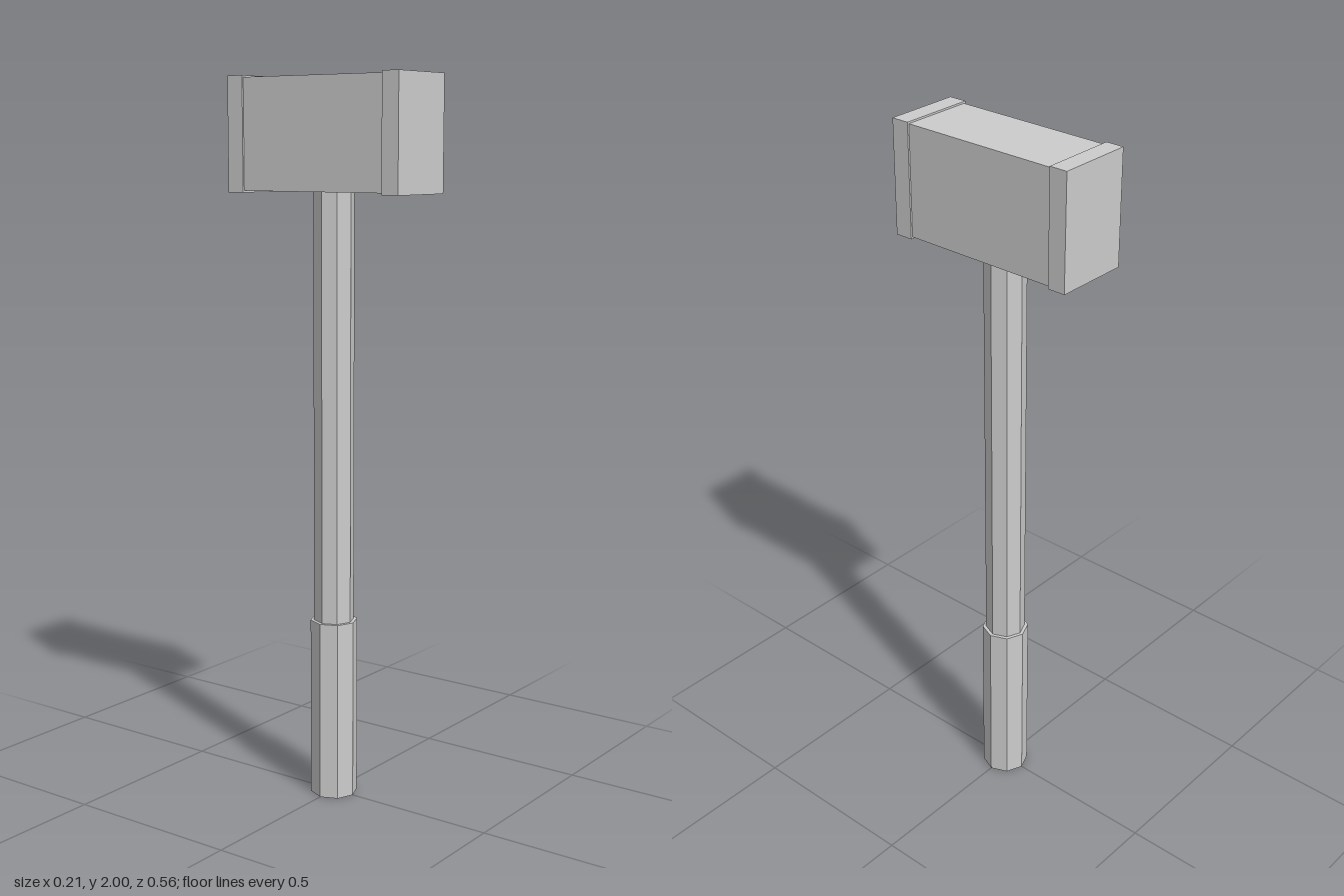
import * as THREE from 'three';

export function createModel() {
  const model = new THREE.Group();
  const grey = new THREE.MeshStandardMaterial({ color: 0xcccccc, flatShading: true });
  grey.name = 'light grey';

  const add = (name, geometry, y, z = 0) => {
    const mesh = new THREE.Mesh(geometry, grey);
    mesh.name = name;
    mesh.position.set(0, y, z);
    model.add(mesh);
  };
  // Eight-sided rod between two heights
  const rod = (name, radius, bottom, top) =>
    add(name, new THREE.CylinderGeometry(radius, radius, top - bottom, 8), (bottom + top) / 2);

  rod('grip', 0.066, 0, 0.508);
  rod('shaft', 0.056, 0.45, 1.75);

  // Hammer head with a slightly larger band at each striking end
  const headY = 1.845;
  add('head', new THREE.BoxGeometry(0.202, 0.3, 0.5), headY);
  for (const [name, side] of [['frontBand', 1], ['backBand', -1]]) {
    add(name, new THREE.BoxGeometry(0.212, 0.31, 0.051), headY, side * 0.2525);
  }
  return model;
}
